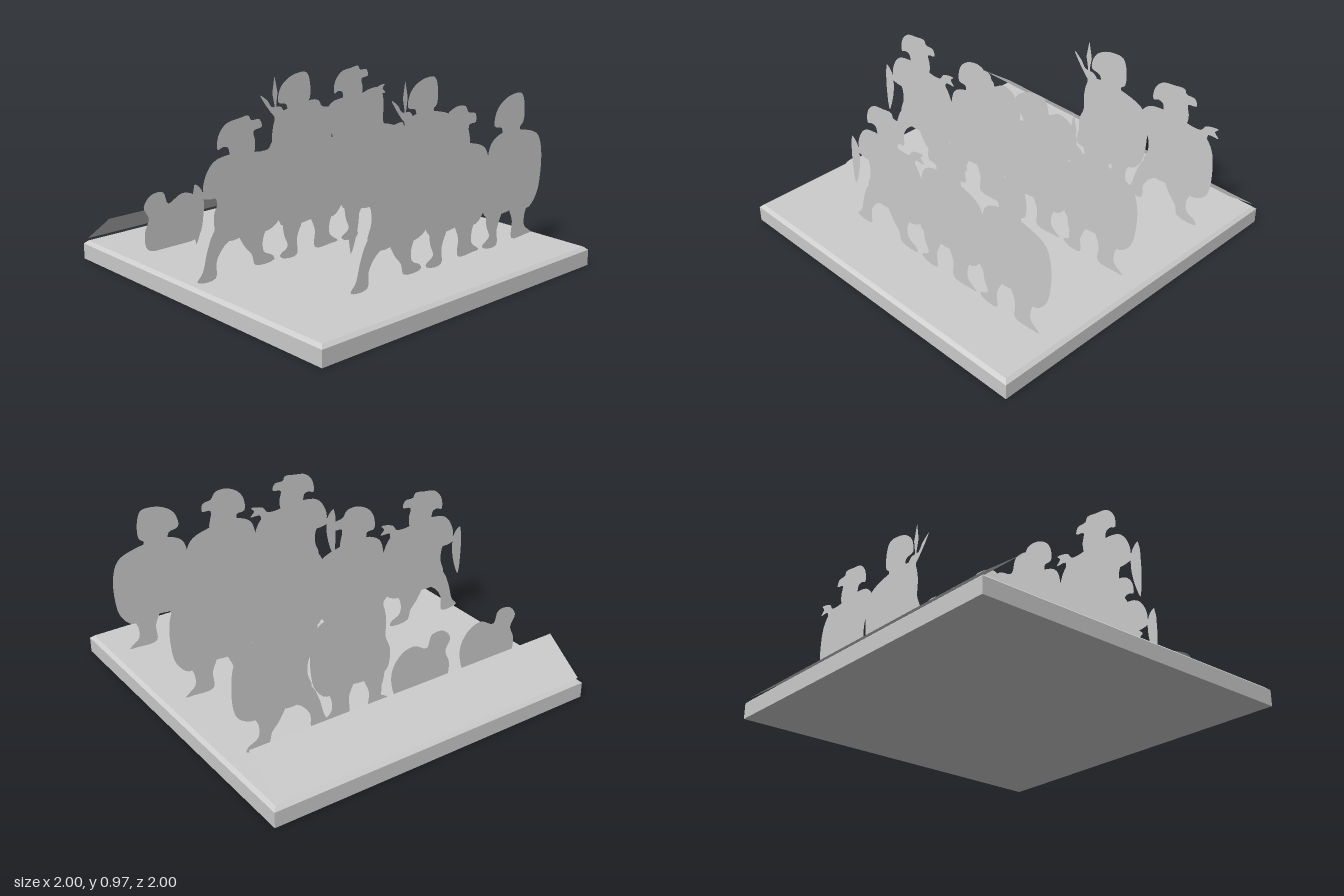
import * as THREE from 'three';

// Smooth closed outline through [x, y] points, cut as a flat card
function card(points, material, name, steps = 4) {
  const curve = new THREE.CatmullRomCurve3(
    points.map(([x, y]) => new THREE.Vector3(x, y, 0)), true, 'centripetal');
  const outline = curve.getPoints(points.length * steps).slice(0, -1);
  const shape = new THREE.Shape(outline.map((p) => new THREE.Vector2(p.x, p.y)));
  const mesh = new THREE.Mesh(new THREE.ShapeGeometry(shape), material);
  mesh.name = name;
  return mesh;
}

// Helmeted heads
const visorHead = [[-0.07, 0.74], [-0.09, 0.8], [-0.12, 0.81], [-0.155, 0.8], [-0.15, 0.87], [-0.1, 0.925],
  [-0.02, 0.94], [0.045, 0.945], [0.06, 0.92], [0.115, 0.915], [0.13, 0.875], [0.075, 0.86], [0.085, 0.8], [0.07, 0.74]];
const domeHead = [[-0.07, 0.74], [-0.08, 0.79], [-0.13, 0.8], [-0.125, 0.88], [-0.08, 0.935], [0, 0.965],
  [0.06, 0.955], [0.085, 0.92], [0.14, 0.905], [0.145, 0.86], [0.09, 0.85], [0.1, 0.74]];
const roundHead = [[-0.07, 0.74], [-0.09, 0.79], [-0.15, 0.81], [-0.135, 0.89], [-0.08, 0.94], [0, 0.965],
  [0.07, 0.96], [0.095, 0.91], [0.095, 0.8], [0.065, 0.77], [0.08, 0.74]];

// Torso with the big oval shield on the +x side
const shieldTorso = [[-0.07, 0.765], [-0.18, 0.745], [-0.235, 0.68], [-0.25, 0.6], [-0.18, 0.56], [-0.165, 0.47],
  [-0.19, 0.38], [-0.1, 0.31], [0.03, 0.32], [0.16, 0.31], [0.235, 0.35], [0.265, 0.42], [0.265, 0.6],
  [0.245, 0.67], [0.2, 0.725], [0.08, 0.75]];
const broadTorso = [[-0.07, 0.765], [-0.17, 0.72], [-0.2, 0.63], [-0.2, 0.52], [-0.23, 0.44], [-0.21, 0.32],
  [-0.08, 0.3], [0.06, 0.31], [0.17, 0.29], [0.24, 0.36], [0.265, 0.46], [0.265, 0.61], [0.23, 0.7], [0.15, 0.74]];

// Legs
const strideLeft = [[-0.13, 0.44], [-0.2, 0.37], [-0.24, 0.28], [-0.27, 0.18], [-0.305, 0.135], [-0.19, 0.13],
  [-0.18, 0.22], [-0.13, 0.29], [-0.04, 0.35]];
const strideRight = [[-0.04, 0.36], [0.0, 0.26], [0.05, 0.2], [0.07, 0.14], [0.2, 0.14], [0.19, 0.165],
  [0.13, 0.2], [0.125, 0.27], [0.16, 0.36]];
const standLeft = [[-0.19, 0.38], [-0.19, 0.26], [-0.165, 0.19], [-0.22, 0.15], [-0.2, 0.13], [-0.1, 0.13],
  [-0.1, 0.22], [-0.06, 0.34]];
const standRight = [[0, 0.34], [0.03, 0.24], [0.03, 0.14], [0.15, 0.135], [0.2, 0.14], [0.14, 0.19],
  [0.14, 0.26], [0.18, 0.36]];

// Arms and weapons
const hand = [[0.15, 0.68], [0.1, 0.74], [0.17, 0.75], [0.2, 0.785], [0.28, 0.8], [0.26, 0.775], [0.285, 0.745], [0.22, 0.74], [0.21, 0.7]];
const sideShield = [[-0.305, 0.65], [-0.265, 0.62], [-0.25, 0.55], [-0.262, 0.45], [-0.305, 0.34]];
const forearm = [[-0.26, 0.6], [-0.17, 0.62], [-0.16, 0.56], [-0.26, 0.57]];
const spearArm = [[-0.15, 0.71], [-0.2, 0.75], [-0.285, 0.87], [-0.23, 0.83], [-0.2, 0.79], [-0.13, 0.78], [-0.1, 0.72]];
const spear = [[-0.18, 0.12], [-0.18, 0.8], [-0.195, 0.87], [-0.177, 0.97], [-0.155, 0.87], [-0.166, 0.8], [-0.166, 0.12]];

// Crouching figure: low body, crest and shield curve
const crouched = [[-0.18, 0.12], [-0.2, 0.22], [-0.17, 0.3], [-0.2, 0.37], [-0.15, 0.43], [-0.07, 0.43],
  [-0.04, 0.36], [0.05, 0.4], [0.13, 0.38], [0.19, 0.3], [0.19, 0.2], [0.15, 0.12]];

const stride = { strideLeft, strideRight };
const stand = { standLeft, standRight };
const kinds = {
  shieldBearer: { visorHead, shieldTorso, ...stride, hand, sideShield, forearm },
  guard: { domeHead, broadTorso, ...stand },
  marcher: { roundHead, broadTorso, ...stand },
  spearman: { roundHead, broadTorso, ...stand, spearArm, spear },
  croucher: { crouched },
};

// Ranks from front to back, [kind, x]
const ranks = [
  { z: 0.67, row: [['shieldBearer', -0.205], ['guard', 0.25], ['marcher', 0.7]] },
  { z: 0.04, row: [['shieldBearer', -0.67], ['guard', -0.21], ['marcher', 0.24], ['spearman', 0.69]] },
  { z: -0.575, row: [['croucher', -0.67], ['croucher', -0.2], ['spearman', 0.24], ['shieldBearer', 0.69]] },
];

export function createModel() {
  const group = new THREE.Group();
  const stone = new THREE.MeshStandardMaterial({ color: 0xcccccc });
  stone.name = 'light grey';
  const paper = new THREE.MeshStandardMaterial({ color: 0xcccccc, side: THREE.DoubleSide });
  paper.name = 'card grey';

  // Square base with a bevelled rim
  const slab = new THREE.Mesh(new THREE.BoxGeometry(2, 0.09, 2), stone);
  slab.position.y = 0.045;
  slab.name = 'baseSlab';
  let rimGeometry = new THREE.CylinderGeometry(0.98 * Math.SQRT2, Math.SQRT2, 0.018, 4);
  rimGeometry.rotateY(Math.PI / 4);
  rimGeometry = rimGeometry.toNonIndexed();
  rimGeometry.computeVertexNormals();
  const rim = new THREE.Mesh(rimGeometry, stone);
  rim.position.y = 0.099;
  rim.name = 'baseRim';
  group.add(slab, rim);

  // Sloping panel along the back edge
  const rise = 0.17, run = 0.235;
  const panelGeometry = new THREE.PlaneGeometry(1.96, Math.hypot(rise, run));
  panelGeometry.rotateY(Math.PI);
  panelGeometry.rotateX(Math.atan2(run, rise));
  const panel = new THREE.Mesh(panelGeometry, paper);
  panel.position.set(0, 0.12 + rise / 2, -0.985 + run / 2);
  panel.name = 'backPanel';
  group.add(panel);

  // Standing and crouching cut-out figures
  for (const { z, row } of ranks) {
    for (const [kind, x] of row) {
      const figure = new THREE.Group();
      figure.name = kind;
      for (const [part, points] of Object.entries(kinds[kind])) {
        figure.add(card(points, paper, part, part === 'spear' ? 1 : 4));
      }
      figure.position.set(x, 0, z);
      group.add(figure);
    }
  }

  // Fallen figure lying on the base, outline in [x, -z]
  const fallen = new THREE.Group();
  fallen.name = 'fallenFigure';
  const body = [[-0.68, -0.27], [-0.56, -0.2], [-0.48, -0.19], [-0.44, -0.11], [-0.39, -0.09], [-0.38, -0.13],
    [-0.33, -0.15], [-0.34, -0.28], [-0.24, -0.37], [-0.27, -0.41], [-0.37, -0.35], [-0.4, -0.43], [-0.39, -0.5],
    [-0.32, -0.52], [-0.32, -0.58], [-0.41, -0.625], [-0.43, -0.56], [-0.47, -0.5], [-0.54, -0.45], [-0.61, -0.49],
    [-0.66, -0.6], [-0.7, -0.625], [-0.77, -0.58], [-0.775, -0.52], [-0.68, -0.5], [-0.7, -0.42]];
  const shield = [[-0.68, -0.27], [-0.69, -0.21], [-0.77, -0.19], [-0.9, -0.24], [-0.97, -0.35], [-0.94, -0.43],
    [-0.84, -0.45], [-0.77, -0.41], [-0.7, -0.34]];
  const sword = [[-0.73, -0.4], [-0.79, -0.45], [-0.88, -0.57], [-0.86, -0.51], [-0.79, -0.43]];
  fallen.add(card(body, paper, 'fallenBody'), card(shield, paper, 'fallenShield'), card(sword, paper, 'fallenSword'));
  fallen.rotation.x = -Math.PI / 2;
  fallen.position.y = 0.13;
  group.add(fallen);

  return group;
}
